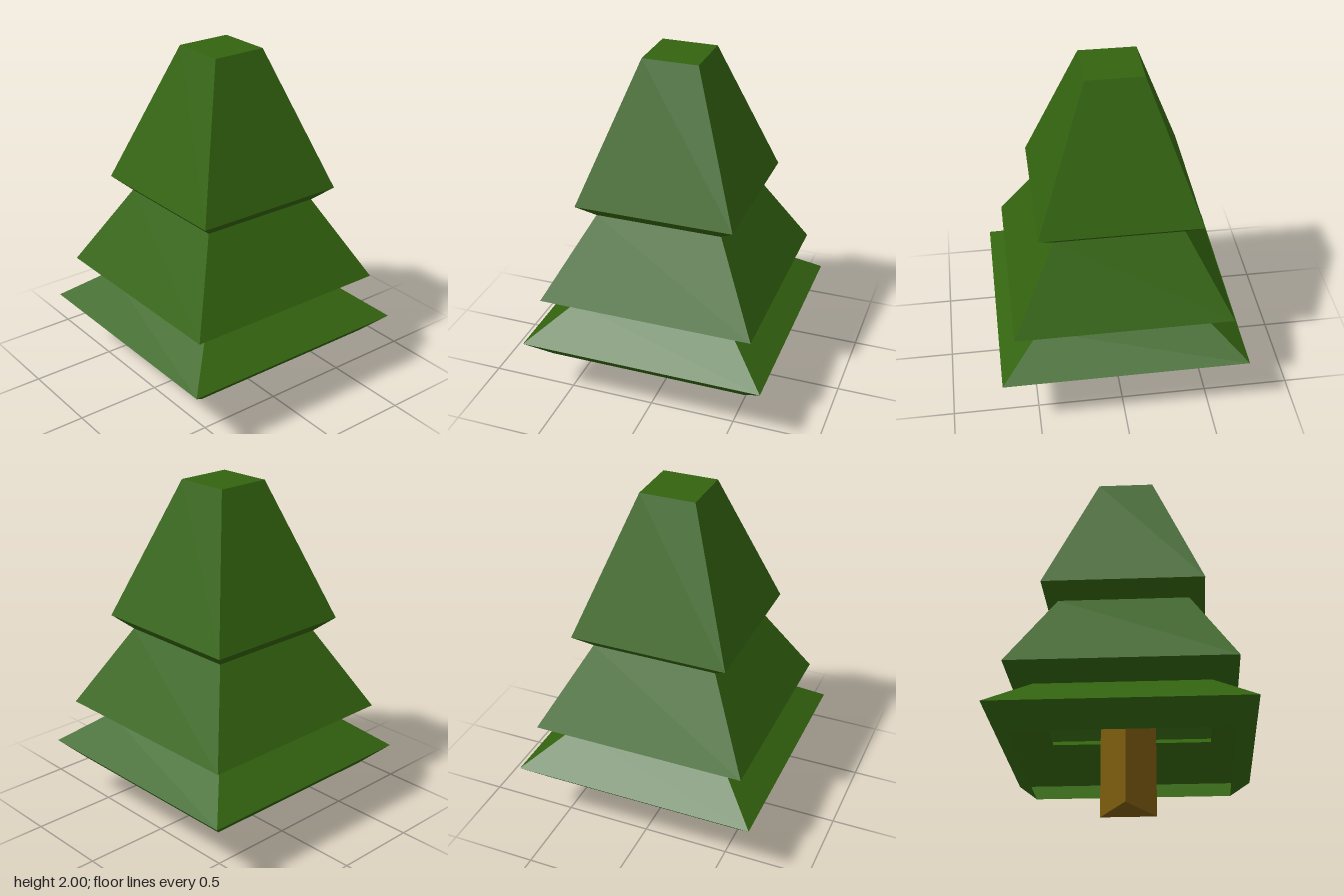
import * as THREE from 'three';

const needles = new THREE.MeshStandardMaterial({ color: 0x33640f, flatShading: true, side: THREE.DoubleSide });
needles.name = 'needle green';
const bark = new THREE.MeshStandardMaterial({ color: 0x7d5c0e, flatShading: true });
bark.name = 'bark brown';

function addPart(group, name, geometry, material) {
  const mesh = new THREE.Mesh(geometry, material);
  mesh.name = name;
  group.add(mesh);
  return mesh;
}

// Flat-faced square shell from [half width, height] pairs, bottom to top
function squareShell(profile) {
  const points = profile.map(([half, y]) => new THREE.Vector2(half * Math.SQRT2, y));
  const geometry = new THREE.LatheGeometry(points, 4, Math.PI / 4).toNonIndexed();
  geometry.computeVertexNormals();
  return geometry;
}

export function createModel() {
  const tree = new THREE.Group();
  tree.name = 'tree';

  // Three tiers of branches, open underneath
  addPart(tree, 'lowerBranches', squareShell([[0.58, 0.27], [0.705, 0.39], [0.475, 0.575]]), needles);
  addPart(tree, 'middleBranches', squareShell([[0.475, 0.575], [0.62, 0.65], [0.365, 1.12]]), needles);
  addPart(tree, 'upperBranches', squareShell([[0.365, 1.12], [0.455, 1.2], [0.16, 2], [0, 2]]), needles);

  // Three-sided trunk with one edge to the front
  const trunkGeometry = new THREE.CylinderGeometry(0.181, 0.181, 0.7, 3).toNonIndexed();
  trunkGeometry.computeVertexNormals();
  const trunk = addPart(tree, 'trunk', trunkGeometry, bark);
  trunk.scale.z = 1.05;
  trunk.position.set(0.002, 0.35, 0.03);

  return tree;
}
